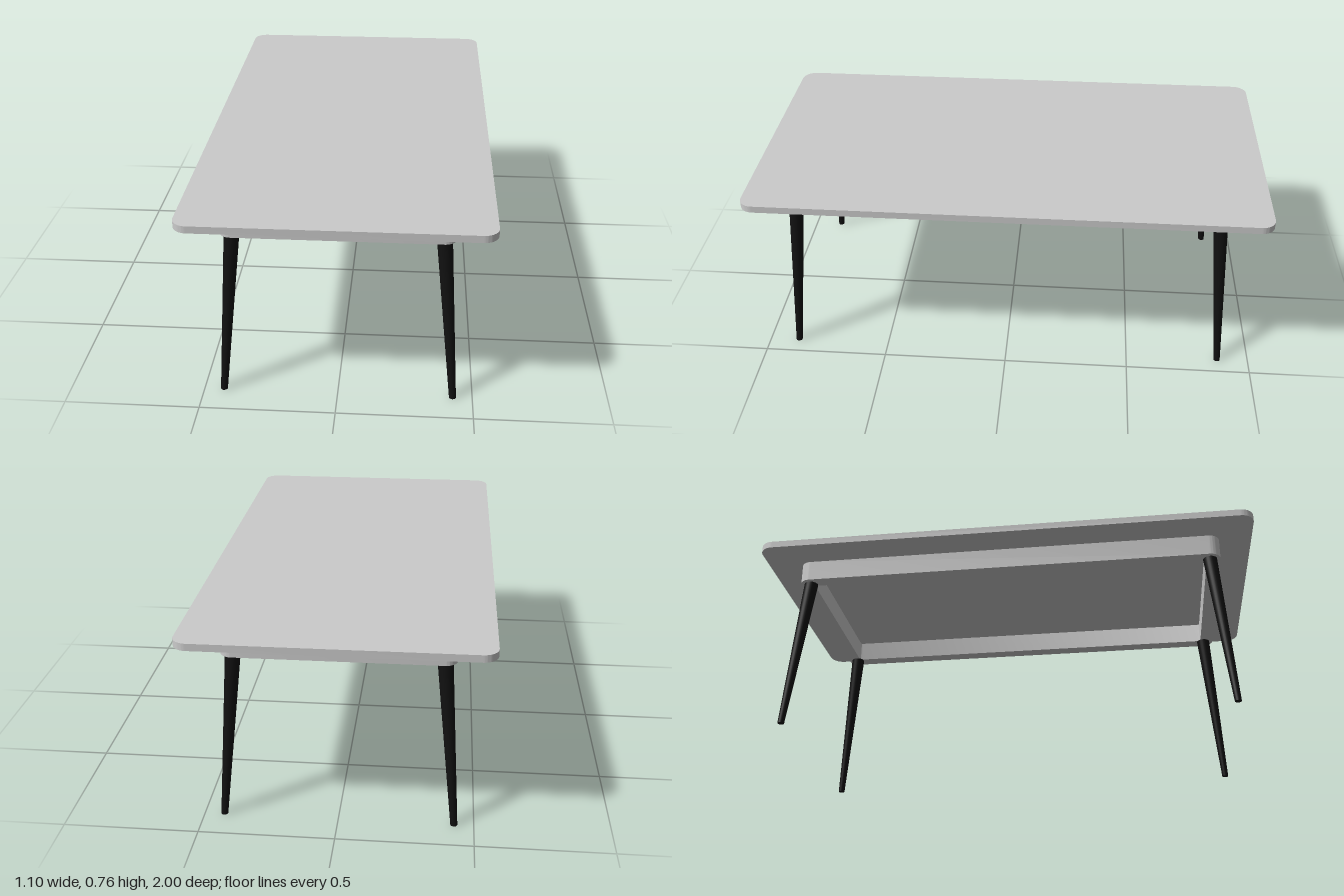
import * as THREE from 'three';
import { toCreasedNormals } from 'three/addons/utils/BufferGeometryUtils.js';

// Rounded rectangle outline centred on the origin
function roundedRect(Type, hx, hz, r) {
  const s = new Type();
  s.absarc(hx - r, hz - r, r, 0, Math.PI / 2);
  s.absarc(-hx + r, hz - r, r, Math.PI / 2, Math.PI);
  s.absarc(-hx + r, -hz + r, r, Math.PI, Math.PI * 1.5);
  s.absarc(hx - r, -hz + r, r, Math.PI * 1.5, Math.PI * 2);
  s.closePath();
  return s;
}

// Horizontal slab from y0 to y1
function slab(shape, y0, y1) {
  const g = new THREE.ExtrudeGeometry(shape, { depth: y1 - y0, bevelEnabled: false, curveSegments: 10 });
  g.rotateX(-Math.PI / 2);
  g.translate(0, y0, 0);
  return toCreasedNormals(g, 0.6);
}

export function createModel() {
  const table = new THREE.Group();
  table.name = 'table';
  const grey = new THREE.MeshStandardMaterial({ color: 0xcccccc });
  const black = new THREE.MeshStandardMaterial({ color: 0x111111 });
  const add = (name, geometry, material) => {
    const mesh = new THREE.Mesh(geometry, material);
    mesh.name = name;
    table.add(mesh);
    return mesh;
  };

  const legTop = 0.645, apronTop = 0.73, topY = 0.757;

  // Table top
  add('tableTop', slab(roundedRect(THREE.Shape, 0.55, 1, 0.055), apronTop, topY), grey);

  // Hollow apron frame under the top
  const frame = roundedRect(THREE.Shape, 0.418, 0.868, 0.045);
  frame.holes.push(roundedRect(THREE.Path, 0.363, 0.813, 0.01));
  add('apron', slab(frame, legTop, apronTop), grey).position.z = 0.003;

  // Tapered legs, sheared outwards so both ends stay level
  for (const [zName, sz] of [['front', 1], ['back', -1]]) {
    for (const [xName, sx] of [['Left', 1], ['Right', -1]]) {
      const g = new THREE.CylinderGeometry(0.028, 0.013, legTop, 24);
      g.translate(0, legTop / 2, 0);
      const shear = new THREE.Matrix4().set(
        1, -sx * 0.053 / legTop, 0, sx * 0.427,
        0, 1, 0, 0,
        0, -sz * 0.051 / legTop, 1, sz * 0.877 + 0.003,
        0, 0, 0, 1
      );
      g.applyMatrix4(shear);
      add(zName + xName + 'Leg', g, black);
    }
  }
  return table;
}
